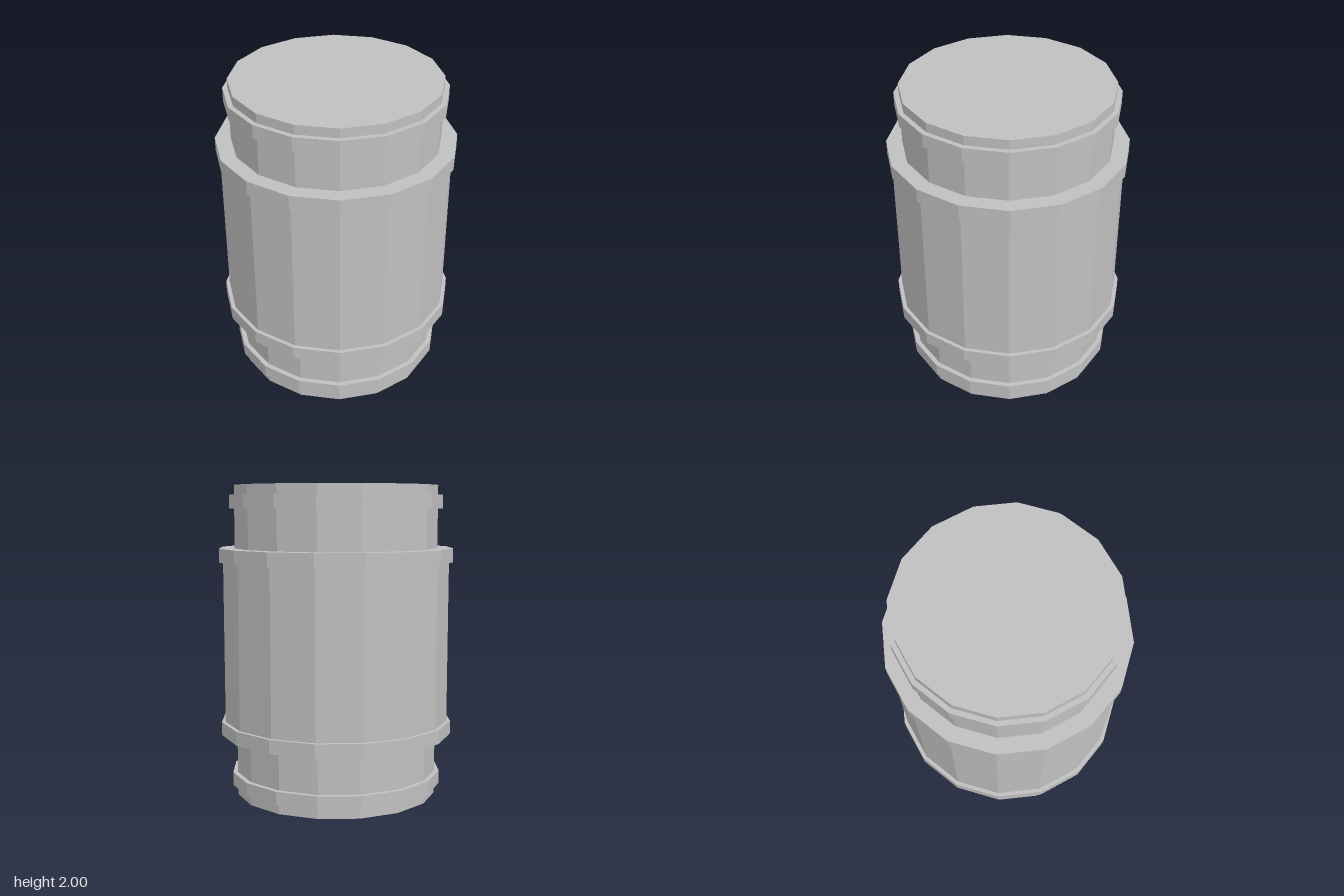
import * as THREE from 'three';

const SIDES = 16;
const CORE = 0.654, BODY = 0.729, RIM = 0.685, COLLAR = 0.753;

export function createModel() {
  const model = new THREE.Group();
  model.name = 'canister';
  const grey = new THREE.MeshStandardMaterial({ color: 0xc0c0c0, flatShading: true });
  grey.name = 'grey';

  // Faceted ring of surface from [radius, height] points, listed bottom to top
  const turned = (name, points) => {
    const profile = points.map(([r, y]) => new THREE.Vector2(r, y));
    const mesh = new THREE.Mesh(new THREE.LatheGeometry(profile, SIDES), grey);
    mesh.name = name;
    model.add(mesh);
  };

  // A raised band with the radii of the walls it meets below and above
  const band = (name, radius, y0, y1, below, above) =>
    turned(name, [[below, y0], [radius, y0], [radius, y1], [above, y1]]);

  // Closed ends
  turned('bottomEnd', [[0, 0], [CORE, 0], [CORE, 0.065]]);
  turned('topEnd', [[CORE, 1.94], [CORE, 2], [0, 2]]);

  // Thin rims near the ends
  band('lowerRim', RIM, 0.065, 0.15, CORE, CORE);
  band('upperRim', RIM, 1.853, 1.94, CORE, CORE);

  // Recessed necks
  turned('lowerNeck', [[CORE, 0.15], [CORE, 0.4]]);
  turned('upperNeck', [[CORE, 1.603], [CORE, 1.853]]);

  // Wide collars around the main drum
  band('lowerCollar', COLLAR, 0.4, 0.488, CORE, BODY);
  band('upperCollar', COLLAR, 1.514, 1.603, BODY, CORE);
  turned('drum', [[BODY, 0.488], [BODY, 1.514]]);

  return model;
}
